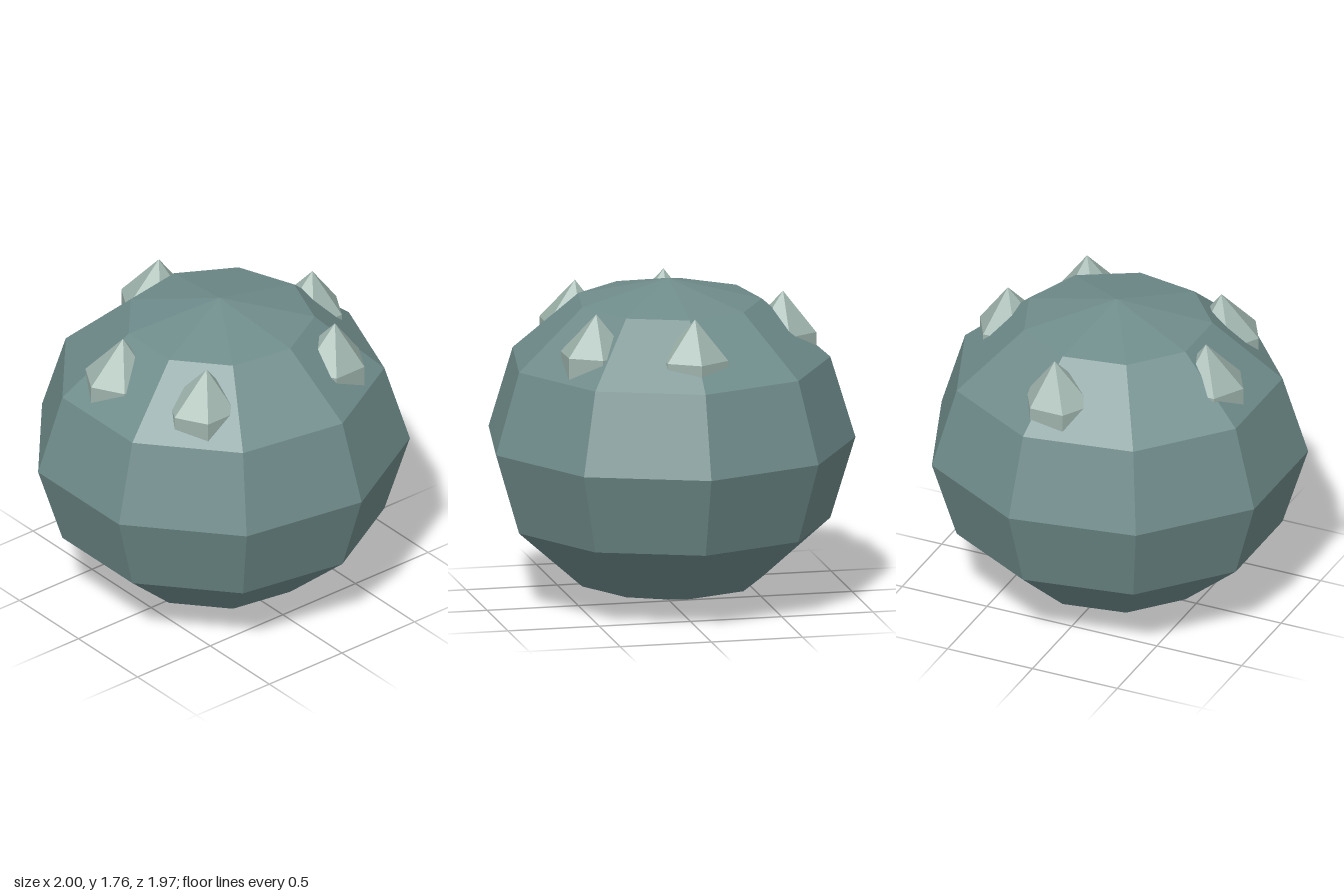
import * as THREE from 'three';

export function createModel() {
  const model = new THREE.Group();
  const bodyMat = new THREE.MeshStandardMaterial({ color: 0x6f8c8b, flatShading: true });
  const studMat = new THREE.MeshStandardMaterial({ color: 0x9db2aa, flatShading: true });
  const centreX = -0.031;

  // Faceted, slightly squashed round body
  const bodyGeo = new THREE.SphereGeometry(1, 9, 6);
  bodyGeo.rotateY(Math.PI);
  bodyGeo.scale(1.031, 0.882, 1);
  const body = new THREE.Mesh(bodyGeo, bodyMat);
  body.name = 'body';
  body.position.set(centreX, 0.882, 0);
  model.add(body);

  // Stud shape: six-sided spike with a slightly off-centre tip, on a sunken prism
  const radius = 0.192, tipHeight = 0.22, baseHeight = 0.24;
  const tipGeo = new THREE.ConeGeometry(radius, tipHeight, 6, 1, true);
  tipGeo.rotateY(Math.PI / 6);
  tipGeo.translate(0, tipHeight / 2, 0);
  const pos = tipGeo.attributes.position;
  for (let i = 0; i < pos.count; i++) {
    if (pos.getY(i) > tipHeight / 2) pos.setX(i, pos.getX(i) + 0.028);
  }
  const baseGeo = new THREE.CylinderGeometry(radius, radius, baseHeight, 6);
  baseGeo.rotateY(Math.PI / 6);
  baseGeo.translate(0, -baseHeight / 2, 0);

  // Five studs spread around the crown by the golden angle
  const goldenAngle = THREE.MathUtils.degToRad(137.5);
  for (let i = 0; i < 5; i++) {
    const a = i * goldenAngle;
    const stud = new THREE.Group();
    stud.name = 'stud' + (i + 1);
    const tip = new THREE.Mesh(tipGeo, studMat);
    tip.name = 'studTip';
    const base = new THREE.Mesh(baseGeo, studMat);
    base.name = 'studBase';
    stud.add(tip, base);
    stud.position.set(centreX + 0.613 * Math.cos(a), 1.46, 0.613 * Math.sin(a));
    model.add(stud);
  }
  return model;
}
